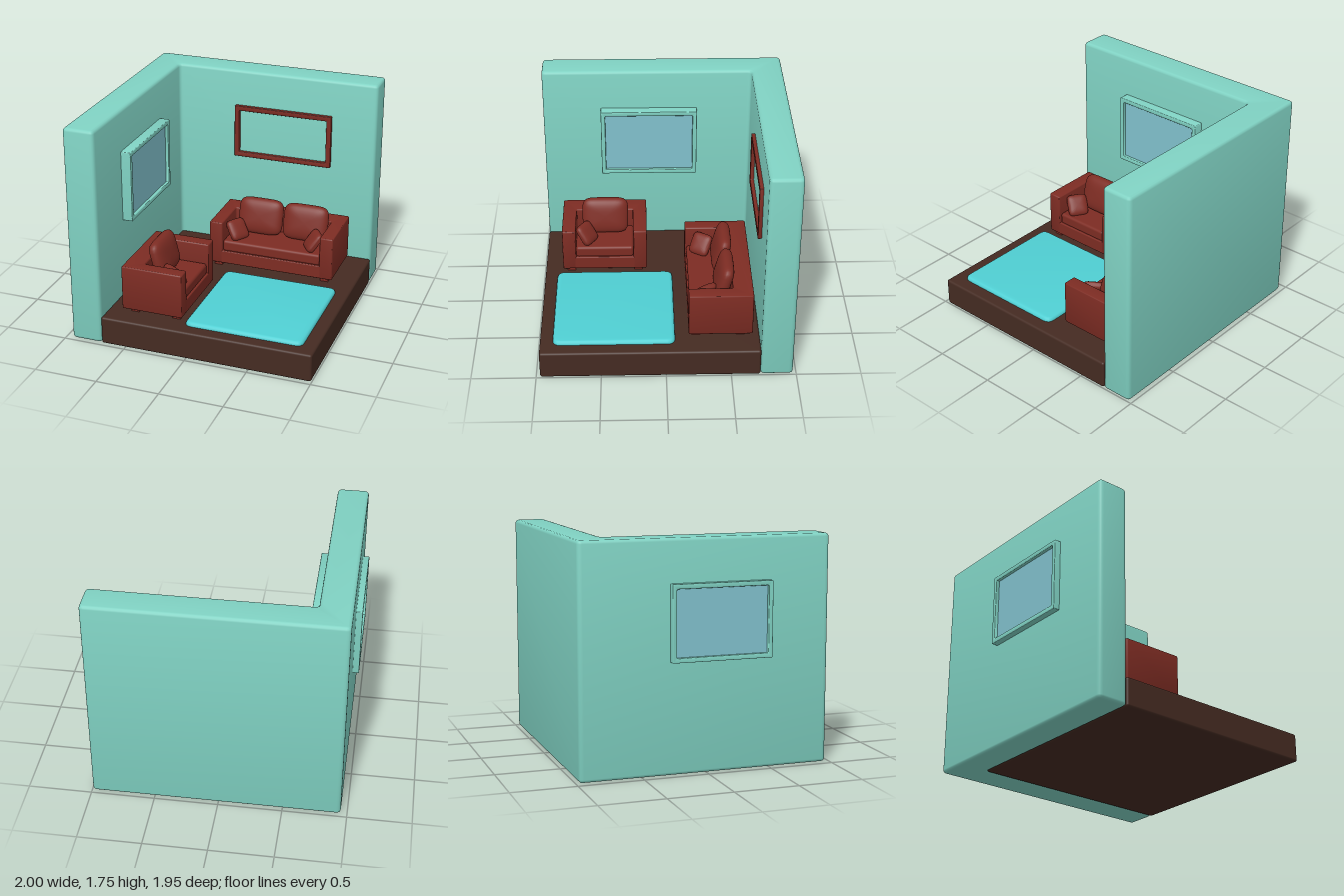
import * as THREE from 'three';
import { toCreasedNormals } from 'three/addons/utils/BufferGeometryUtils.js';
import { RoundedBoxGeometry } from 'three/addons/geometries/RoundedBoxGeometry.js';

const paint = (name, color) => {
  const m = new THREE.MeshStandardMaterial({ color });
  m.name = name;
  return m;
};

// Closed outline with softened corners
function outline(points, r, Type = THREE.Shape) {
  const s = new Type();
  const pts = points.map(([x, y]) => new THREE.Vector2(x, y));
  const toward = (a, b) => a.clone().add(b.clone().sub(a).setLength(r));
  pts.forEach((p, i) => {
    const a = toward(p, pts[(i + pts.length - 1) % pts.length]);
    const b = toward(p, pts[(i + 1) % pts.length]);
    if (i) s.lineTo(a.x, a.y); else s.moveTo(a.x, a.y);
    s.quadraticCurveTo(p.x, p.y, b.x, b.y);
  });
  s.closePath();
  return s;
}

// Extrusion from z = 0 to depth with bevels kept inside the outline
function slab(shape, depth, bevel) {
  const geo = new THREE.ExtrudeGeometry(shape, {
    depth: depth - 2 * bevel, bevelThickness: bevel, bevelSize: bevel,
    bevelOffset: -bevel, bevelSegments: 3, curveSegments: 4,
  });
  geo.translate(0, 0, bevel);
  return toCreasedNormals(geo, 0.7);
}

// Upright block from a floor plan of [x, z] points
function planBlock(plan, y0, y1, r, bevel) {
  const shape = outline(plan.map(([x, z]) => [x, -z]), r);
  return slab(shape, y1 - y0, bevel).rotateX(-Math.PI / 2).translate(0, y0, 0);
}

const rect = (w, h) => [[-w / 2, -h / 2], [w / 2, -h / 2], [w / 2, h / 2], [-w / 2, h / 2]];

function frame(w, h, border, depth, bevel) {
  const s = outline(rect(w, h), 0.008);
  s.holes.push(outline(rect(w - 2 * border, h - 2 * border), 0.008, THREE.Path));
  return slab(s, depth, bevel);
}

// Box given by its limits
function box(x0, x1, y0, y1, z0, z1, r) {
  return new RoundedBoxGeometry(x1 - x0, y1 - y0, z1 - z0, 3, r)
    .translate((x0 + x1) / 2, (y0 + y1) / 2, (z0 + z1) / 2);
}

// Puffy pillow: a sphere squared off in outline and flattened in z
function pillow(w, h, t) {
  const geo = new THREE.SphereGeometry(1, 32, 18).rotateX(Math.PI / 2);
  const p = geo.attributes.position;
  const pow = (v, e) => Math.sign(v) * Math.abs(v) ** e;
  for (let i = 0; i < p.count; i++) {
    const x = p.getX(i), y = p.getY(i), z = p.getZ(i);
    const c = Math.hypot(x, y), a = Math.atan2(y, x), k = c ** 0.7;
    p.setXYZ(i, w / 2 * pow(Math.cos(a), 0.4) * k, h / 2 * pow(Math.sin(a), 0.4) * k, t / 2 * pow(z, 0.8));
  }
  return toCreasedNormals(geo, 1.2);
}

export function createModel() {
  const model = new THREE.Group();
  const wall = paint('mint wall', 0x80d2c3);
  const wood = paint('dark wood', 0x452b22);
  const red = paint('red upholstery', 0x7d2c23);
  const cyan = paint('cyan rug', 0x50d0d4);
  const glass = paint('blue glass', 0x82c2ce);

  const add = (parent, name, geo, mat) => {
    const m = new THREE.Mesh(geo, mat);
    m.name = name;
    parent.add(m);
    return m;
  };

  // Room shell
  add(model, 'walls', planBlock(
    [[-0.95, -0.975], [0.995, -0.975], [0.995, -0.725], [-0.7, -0.725], [-0.7, 0.97], [-0.95, 0.97]],
    0.01, 1.76, 0.035, 0.025), wall);
  add(model, 'floor', box(-0.7, 0.995, 0.01, 0.235, -0.725, 0.97, 0.018), wood);
  add(model, 'rug', planBlock([[-0.05, -0.07], [0.89, -0.07], [0.89, 0.87], [-0.05, 0.87]],
    0.205, 0.265, 0.06, 0.025), cyan);

  // Window through the left wall
  const win = new THREE.Group();
  win.name = 'window';
  win.position.set(-1, 1.143, 0.107);
  win.rotation.y = Math.PI / 2;
  add(win, 'windowFrame', frame(0.785, 0.575, 0.036, 0.38, 0.005), wall);
  add(win, 'windowPane', new THREE.BoxGeometry(0.725, 0.515, 0.33).translate(0, 0, 0.19), glass);
  model.add(win);

  // Picture frame on the back wall
  add(model, 'pictureFrame', frame(0.83, 0.445, 0.04, 0.035, 0.004), red).position.set(0.21, 1.238, -0.73);

  // Sofa or armchair facing +z
  function seat(name, w, backs, throwSides) {
    const g = new THREE.Group();
    g.name = name;
    const o = w / 2, i = o - 0.11, zb = -0.248, zf = 0.248, zi = -0.093;
    add(g, 'armsAndBack', planBlock(
      [[-o, zb], [o, zb], [o, zf], [i, zf], [i, zi], [-i, zi], [-i, zf], [-o, zf]],
      0.265, 0.625, 0.014, 0.01), red);
    add(g, 'base', box(-i - 0.02, i + 0.02, 0.265, 0.375, zi - 0.02, zf - 0.001, 0.008), red);
    add(g, 'seatCushion', box(-i, i, 0.37, 0.465, zi - 0.01, zf - 0.012, 0.022), red);
    for (const x of backs) {
      const b = add(g, 'backPillow', pillow(0.378, 0.3, 0.125), red);
      b.position.set(x, 0.612, -0.03);
      b.rotation.x = -0.26;
    }
    for (const s of throwSides) {
      const t = add(g, 'throwPillow', pillow(0.17, 0.18, 0.075), red);
      t.position.set(s * (i - 0.09), 0.53, 0.12);
      t.rotation.set(-0.65, -s * 1.0, 0, 'YXZ');
    }
    for (const s of [-1, 1]) for (const z of [-0.155, 0.19]) {
      add(g, 'leg', new THREE.BoxGeometry(0.065, 0.05, 0.065), red).position.set(s * (o - 0.07), 0.25, z);
    }
    model.add(g);
    return g;
  }
  seat('sofa', 1.05, [-0.172, 0.215], [-1, 1]).position.set(0.29, 0, -0.423);
  const chair = seat('armchair', 0.69, [0.005], [-1]);
  chair.position.set(-0.333, 0, 0.48);
  chair.rotation.y = Math.PI / 2;

  return model;
}
